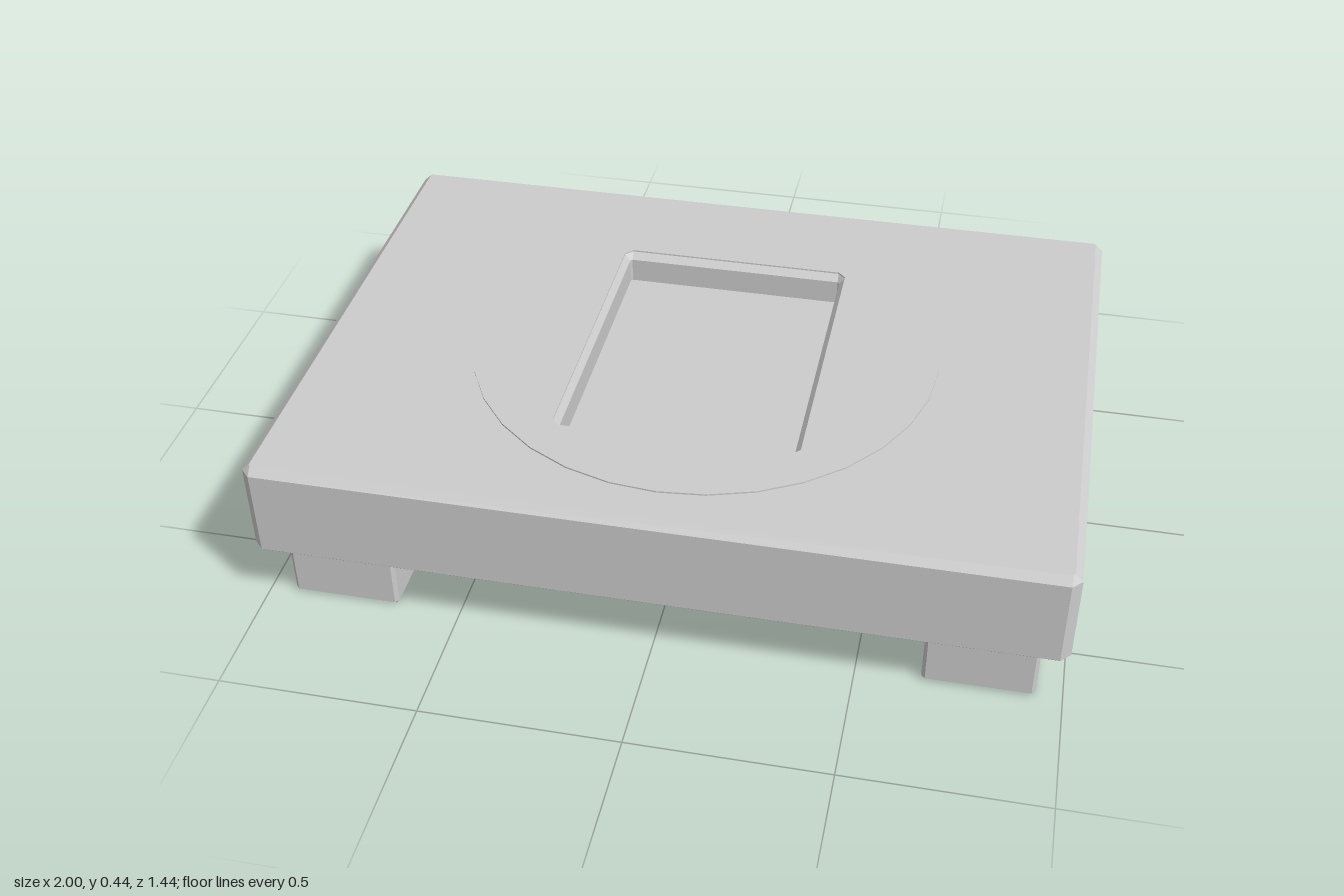
import * as THREE from 'three';

const material = new THREE.MeshStandardMaterial({ color: 0xcccccc, flatShading: true });

// Rectangle with cut corners, as eight [x, z] points
function cutRect(hx, hz, c) {
  return [[hx, hz - c], [hx, c - hz], [hx - c, -hz], [c - hx, -hz],
    [-hx, c - hz], [-hx, hz - c], [c - hx, hz], [hx - c, hz]];
}

// Joins stacked cut rectangles [halfX, halfZ, cut, y], closing both ends
function loft(sections) {
  const pos = [], index = [], n = 8;
  sections.forEach(([hx, hz, c, y]) => cutRect(hx, hz, c).forEach(([x, z]) => pos.push(x, y, z)));
  for (let s = 0; s < sections.length - 1; s++) {
    for (let i = 0; i < n; i++) {
      const j = (i + 1) % n, a = s * n + i, b = s * n + j;
      index.push(a, b, b + n, a, b + n, a + n);
    }
  }
  const last = (sections.length - 1) * n;
  for (let i = 1; i < n - 1; i++) {
    index.push(0, i + 1, i);
    index.push(last, last + i, last + i + 1);
  }
  const geometry = new THREE.BufferGeometry();
  geometry.setAttribute('position', new THREE.Float32BufferAttribute(pos, 3));
  geometry.setIndex(index);
  const flat = geometry.toNonIndexed();
  flat.computeVertexNormals();
  return flat;
}

export function createModel() {
  const group = new THREE.Group();
  const add = (name, geometry, x = 0, y = 0, z = 0) => {
    const mesh = new THREE.Mesh(geometry, material);
    mesh.name = name;
    mesh.position.set(x, y, z);
    group.add(mesh);
  };

  // Chamfered slab whose top runs inward and down into the rectangular recess
  const top = 0.434;
  add('slab', loft([
    [0.98, 0.7, 0.004, 0.165],
    [1, 0.72, 0.024, 0.185],
    [1, 0.72, 0.024, 0.415],
    [0.98, 0.7, 0.004, top],
    [0.31, 0.405, 0.02, top],
    [0.295, 0.388, 0.005, top - 0.017],
    [0.295, 0.388, 0.005, 0.35],
  ]));

  // Thin round inlay surrounding the recess
  const disc = new THREE.Shape();
  for (let i = 0; i < 32; i++) {
    const a = (i / 32) * Math.PI * 2;
    disc[i ? 'lineTo' : 'moveTo'](0.605 * Math.cos(a), 0.605 * Math.sin(a));
  }
  disc.closePath();
  disc.holes.push(new THREE.Path(cutRect(0.31, 0.405, 0.02).map(([x, z]) => new THREE.Vector2(x, z))));
  const inlay = new THREE.ExtrudeGeometry(disc, { depth: 0.005, bevelEnabled: false });
  inlay.rotateX(-Math.PI / 2);
  add('roundInlay', inlay, 0, top - 0.001, 0);

  // Four block feet with slightly softened edges
  const foot = loft([
    [0.13, 0.13, 0.002, 0],
    [0.137, 0.137, 0.009, 0.007],
    [0.137, 0.137, 0.009, 0.167],
  ]);
  for (const sx of [1, -1]) {
    for (const sz of [1, -1]) {
      add((sz > 0 ? 'front' : 'back') + (sx > 0 ? 'Left' : 'Right') + 'Foot', foot, sx * 0.798, 0, sz * 0.525);
    }
  }
  return group;
}
